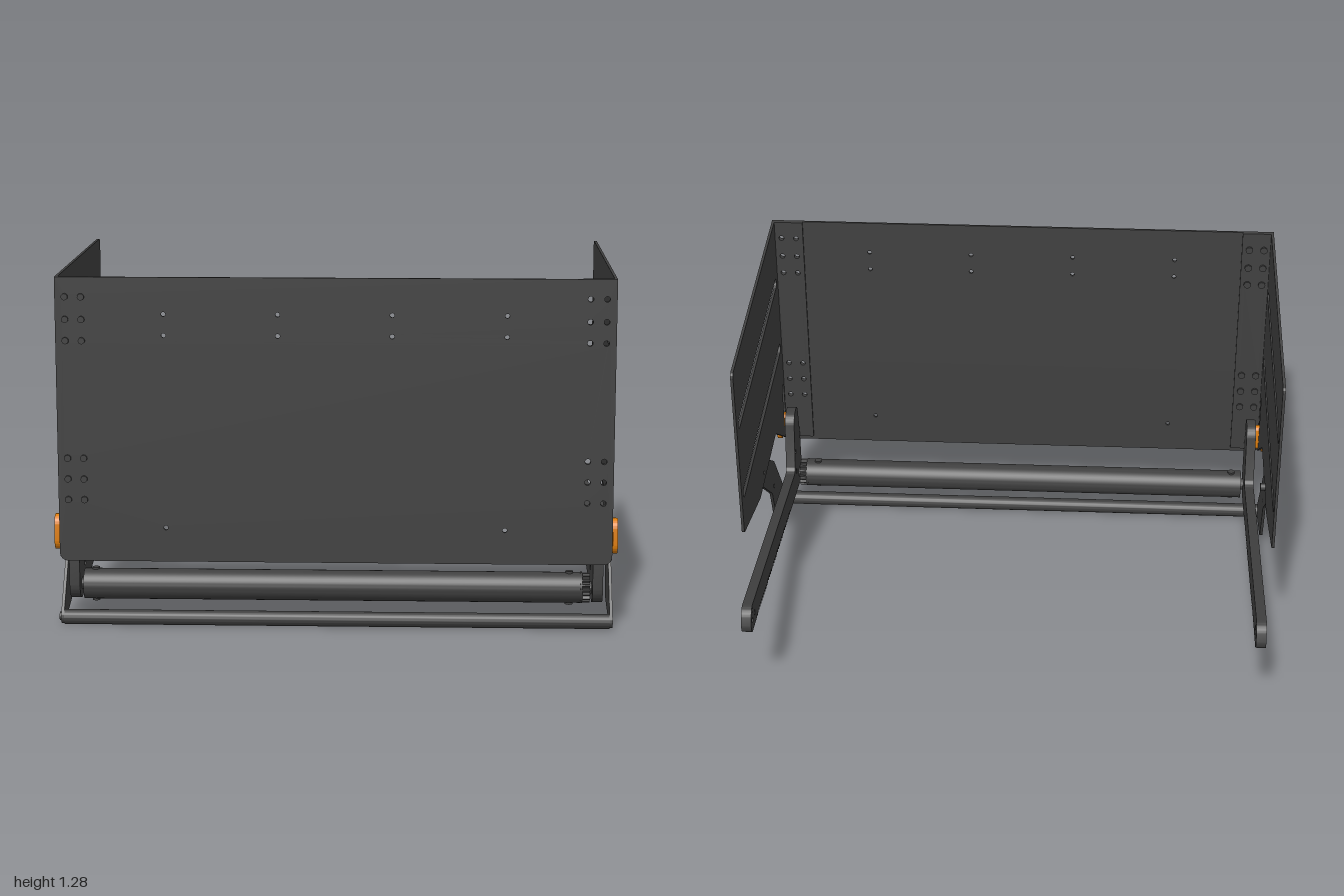
import * as THREE from 'three';
import { toCreasedNormals } from 'three/addons/utils/BufferGeometryUtils.js';

const dark = new THREE.MeshStandardMaterial({ color: 0x404040 });
const orange = new THREE.MeshStandardMaterial({ color: 0xdd7d0c });

// Closed outline through [u, v, cornerRadius] points, with true arcs at the corners
function outline(points, Type = THREE.Shape) {
  const path = new Type();
  const n = points.length;
  points.forEach(([x, y, r = 0], i) => {
    const p = new THREE.Vector2(x, y);
    const a = new THREE.Vector2(...points[(i + n - 1) % n].slice(0, 2)).sub(p).normalize();
    const b = new THREE.Vector2(...points[(i + 1) % n].slice(0, 2)).sub(p).normalize();
    if (!r) {
      if (i) path.lineTo(x, y); else path.moveTo(x, y);
      return;
    }
    const half = Math.acos(THREE.MathUtils.clamp(a.dot(b), -1, 1)) / 2;
    const d = r / Math.tan(half);
    const c = a.clone().add(b).normalize().multiplyScalar(r / Math.sin(half)).add(p);
    const s = a.clone().multiplyScalar(d).add(p), e = b.clone().multiplyScalar(d).add(p);
    if (i) path.lineTo(s.x, s.y); else path.moveTo(s.x, s.y);
    path.absarc(c.x, c.y, r, Math.atan2(s.y - c.y, s.x - c.x), Math.atan2(e.y - c.y, e.x - c.x), a.cross(b) > 0);
  });
  path.closePath();
  return path;
}
const box = (u0, u1, v0, v1, r, Type) => outline([[u0, v0, r], [u1, v0, r], [u1, v1, r], [u0, v1, r]], Type);
const slot = (u0, u1, v0, v1) => box(u0, u1, v0, v1, Math.min(u1 - u0, v1 - v0) * 0.495, THREE.Path);
const circle = (u, v, r, Type = THREE.Path) => new Type().absarc(u, v, r, 0, Math.PI * 2, false);

function extrude(shape, holes, depth, segments = 8) {
  shape.holes = holes;
  const geo = new THREE.ExtrudeGeometry(shape, { depth, bevelEnabled: false, curveSegments: segments });
  return toCreasedNormals(geo, 0.6);
}
function add(parent, name, geo, material = dark) {
  const mesh = new THREE.Mesh(geo, material);
  mesh.name = name;
  parent.add(mesh);
  return mesh;
}
// Plate drawn in (z, y), spanning x0..x1
const acrossX = (shape, holes, x0, x1, seg) =>
  extrude(shape, holes, x1 - x0, seg).rotateY(-Math.PI / 2).translate(x1, 0, 0);
// Plate drawn in (x, y), spanning z0..z1
const acrossZ = (shape, holes, z0, z1) => extrude(shape, holes, z1 - z0).translate(0, 0, z0);

const boltRows = [1.21, 1.13, 1.055, 0.635, 0.56, 0.485];
const boltColumns = [0.888, 0.945];
const cornerHoles = side => boltRows.flatMap(y => boltColumns.map(x => circle(side * x, y, 0.01)));

// Bracket and long bar in one piece, with rack teeth on the lower edge
function rackArmShape() {
  const lower = z => 0.222 - 0.186 * z;
  const points = [
    [0.692, 0.093, 0.06], [0.692, 0.29, 0.1], [0.66, 0.468, 0.055], [0.556, 0.468, 0.05],
    [0.508, 0.229, 0.03], [-0.7, 0.454, 0.045], [-0.737, 0.355, 0.035],
  ];
  const teeth = 38, pitch = 0.93 / teeth;
  for (let i = 0; i < teeth; i++) {
    const z = -0.6 + i * pitch;
    [[0, 0], [0.25, 0.013], [0.5, 0.013], [0.75, 0]].forEach(([k, h]) =>
      points.push([z + k * pitch, lower(z + k * pitch) + h]));
  }
  points.push([0.33, lower(0.33)], [0.585, lower(0.585), 0.03]);
  return outline(points);
}

function buildSide(side) {
  const group = new THREE.Group();
  group.name = side > 0 ? 'leftSide' : 'rightSide';
  const span = (a, b) => (side > 0 ? [a, b] : [-b, -a]);

  // Side panel with two long slots and one guide slot
  const panel = outline([[0.712, 1.28], [-0.42, 1.28, 0.02], [-0.42, 0.589, 0.015],
    [-0.03, 0.475], [0.42, 0.475], [0.712, 0.265, 0.01]]);
  add(group, 'sidePanel', acrossX(panel, [
    slot(-0.38, 0.665, 1.014, 1.055), slot(-0.38, 0.665, 0.714, 0.754),
    slot(0.652, 0.692, 0.33, 0.546), circle(0.093, 0.51, 0.009),
  ], ...span(0.97, 0.98)));

  // Corner flange behind the front panel
  const [f0, f1] = span(0.86, 0.975);
  add(group, 'cornerFlange', acrossZ(box(f0, f1, 0.28, 1.28, 0.004), cornerHoles(side), 0.702, 0.712));

  // Toothed arm carrying the roller
  const armHoles = [[0.632, 0.156], [0.546, 0.305], [0.546, 0.21], [-0.632, 0.385], [-0.681, 0.432], [-0.688, 0.392]];
  add(group, 'rackArm', acrossX(rackArmShape(), armHoles.map(([z, y]) => circle(z, y, 0.01)), ...span(0.915, 0.952)));

  // Outer swing link
  const link = outline([[0.684, -0.013, 0.025], [0.39, 0.063, 0.04], [0.315, 0.256, 0.04],
    [0.028, 0.5, 0.046], [0.09, 0.58, 0.046], [0.405, 0.353, 0.06]]);
  add(group, 'swingLink', acrossX(link, [[0.62, 0.03], [0.37, 0.255], [0.093, 0.51]]
    .map(([z, y]) => circle(z, y, 0.009)), ...span(0.982, 0.993)));

  // Coloured slider: outer cap and the block riding in the guide slot
  const pinHoles = () => [0.385, 0.33].map(y => circle(0.672, y, 0.009));
  add(group, 'sliderCap', acrossX(box(0.635, 0.709, 0.295, 0.422, 0.036), pinHoles(), ...span(0.982, 1)), orange);
  add(group, 'sliderBlock', acrossX(box(0.653, 0.691, 0.305, 0.412, 0.018), pinHoles(), ...span(0.956, 0.982)), orange);
  return group;
}

export function createModel() {
  const model = new THREE.Group();
  model.name = 'rollerGuard';

  // Front panel
  const smallHoles = [-0.6, -0.2, 0.2, 0.6].flatMap(x => [1.15, 1.075].map(y => circle(x, y, 0.008)));
  const lowHoles = [-0.6, 0.6].map(x => circle(x, 0.385, 0.008));
  const front = outline([[-0.98, 1.28], [0.98, 1.28], [0.98, 0.262, 0.03], [-0.98, 0.262, 0.03]]);
  add(model, 'frontPanel', acrossZ(front,
    [...smallHoles, ...lowHoles, ...cornerHoles(1), ...cornerHoles(-1)], 0.712, 0.721));

  model.add(buildSide(1), buildSide(-1));

  // Roller, its shaft collars and drive gear, all bored through
  const ring = (z, y, r, bore, x0, x1) => acrossX(circle(z, y, r, THREE.Shape), [circle(z, y, bore)], x0, x1, 24);
  add(model, 'roller', ring(0.625, 0.155, 0.055, 0.012, -0.905, 0.875));
  add(model, 'rollerShaft', ring(0.625, 0.155, 0.022, 0.012, -0.916, 0.916));
  const gearPoints = [];
  for (let i = 0; i < 72; i++) {
    const a = i / 72 * Math.PI * 2, r = i % 4 < 2 ? 0.054 : 0.044;
    gearPoints.push([0.625 + r * Math.cos(a), 0.155 + r * Math.sin(a)]);
  }
  add(model, 'driveGear', acrossX(outline(gearPoints), [circle(0.625, 0.155, 0.012)], 0.88, 0.908));
  add(model, 'gearFlange', ring(0.625, 0.155, 0.056, 0.012, 0.874, 0.881));

  // Screws through the roller ends
  for (const x of [-0.865, 0.835]) {
    for (const s of [-1, 1]) {
      add(model, 'rollerScrew', new THREE.CylinderGeometry(0.014, 0.014, 0.012, 16))
        .position.set(x, 0.155 + s * 0.055, 0.625);
    }
  }

  // Lower cross tube
  add(model, 'crossTube', ring(0.62, 0.028, 0.027, 0.009, -0.982, 0.982));

  // Bolts on the right corner of the front panel
  for (const y of boltRows) {
    for (const x of boltColumns) {
      const bolt = add(model, 'panelBolt', new THREE.CylinderGeometry(0.012, 0.014, 0.036, 12));
      bolt.rotation.x = Math.PI / 2;
      bolt.position.set(-x, y, 0.711);
    }
  }

  // Pivot bolts on the right swing link
  for (const [y, z, length] of [[0.51, 0.093, 0.05], [0.03, 0.62, 0.03]]) {
    const bolt = add(model, 'pivotBolt', new THREE.CylinderGeometry(0.015, 0.015, length, 16));
    bolt.rotation.z = Math.PI / 2;
    bolt.position.set(-1 + length / 2, y, z);
  }
  return model;
}
